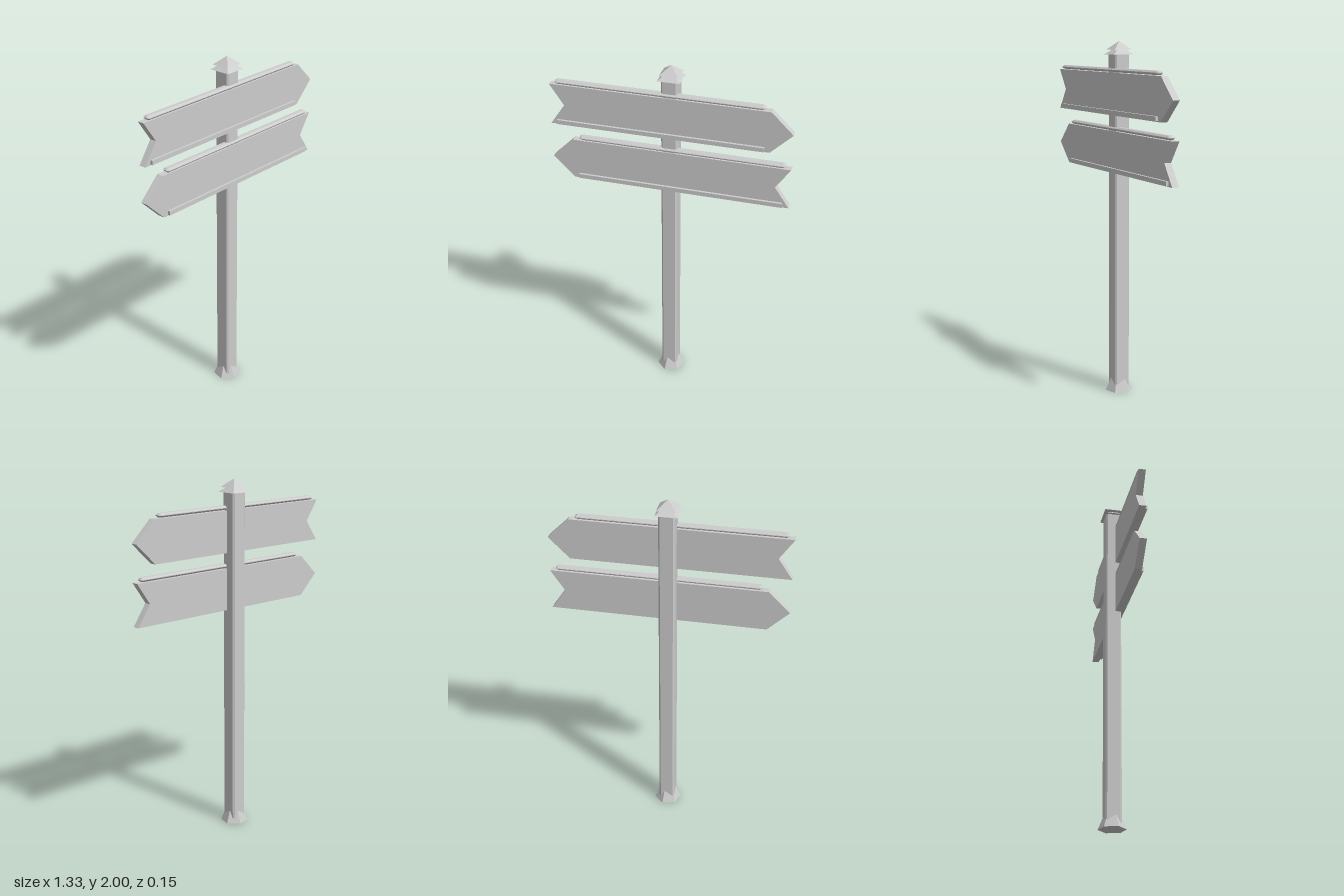
import * as THREE from 'three';

export function createModel() {
  const group = new THREE.Group();
  group.name = 'signpost';
  const grey = new THREE.MeshStandardMaterial({ color: 0xcccccc });
  grey.name = 'plain grey';

  const add = (name, geometry, x = 0, y = 0, z = 0) => {
    // flat facets on every part
    const flat = geometry.index ? geometry.toNonIndexed() : geometry;
    flat.computeVertexNormals();
    const mesh = new THREE.Mesh(flat, grey);
    mesh.name = name;
    mesh.position.set(x, y, z);
    group.add(mesh);
    return mesh;
  };
  const shapeOf = (pts) => new THREE.Shape(pts.map(([x, y]) => new THREE.Vector2(x, y)));
  const chamferedRect = (w, h, c) => shapeOf([
    [-w + c, -h], [w - c, -h], [w, -h + c], [w, h - c],
    [w - c, h], [-w + c, h], [-w, h - c], [-w, -h + c],
  ]);

  // Square post with narrow chamfered corners
  const post = new THREE.ExtrudeGeometry(chamferedRect(0.045, 0.045, 0.009), { depth: 1.93, bevelEnabled: false });
  post.rotateX(-Math.PI / 2);
  add('post', post);

  // Flared hexagonal foot, turned so the post corners break through it
  const foot = new THREE.CylinderGeometry(0.045, 0.078, 0.076, 6);
  foot.rotateY(Math.PI / 4);
  add('foot', foot, 0, 0.038, 0);

  // Two stacked square pyramids on top
  for (const [name, half, base, height] of [['lowerCap', 0.061, 1.927, 0.048], ['upperCap', 0.053, 1.953, 0.047]]) {
    const cap = new THREE.ConeGeometry(half * Math.SQRT2, height, 4);
    cap.rotateY(Math.PI / 4);
    add(name, cap, 0, base + height / 2, 0);
  }

  // Arrow board with a notched tail, a bevelled top rail and a lower front strip
  const addBoard = (name, y, dir) => {
    const outline = [
      [-0.665, 0.117], [-0.585, 0], [-0.665, -0.117],
      [0.545, -0.117], [0.665, 0], [0.545, 0.117],
    ].map(([x, h]) => [x * dir, h]);
    add(name + 'Board', new THREE.ExtrudeGeometry(shapeOf(outline), { depth: 0.04, bevelEnabled: false }), 0, y, 0.01);

    const rail = new THREE.ExtrudeGeometry(chamferedRect(0.562, 0.011, 0.004), {
      depth: 0.004, bevelThickness: 0.009, bevelSize: 0.01, bevelSegments: 1,
    });
    rail.rotateX(-Math.PI / 2);
    add(name + 'Rail', rail, -0.062 * dir, y + 0.129, 0.032);

    add(name + 'Strip', new THREE.BoxGeometry(1.145, 0.024, 0.02), -0.056 * dir, y - 0.1, 0.054);
  };
  addBoard('upper', 1.712, 1);
  addBoard('lower', 1.391, -1);

  return group;
}
